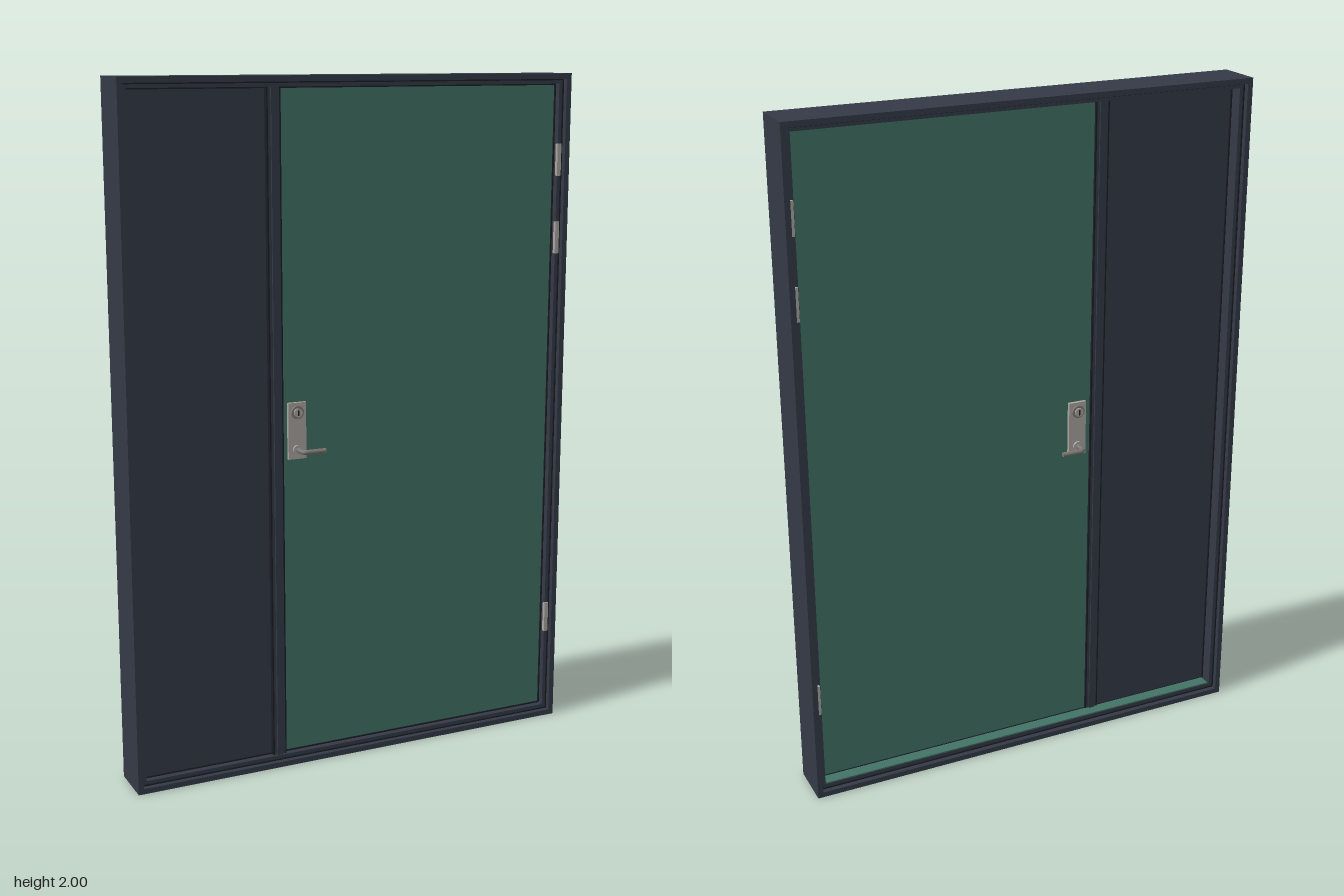
import * as THREE from 'three';

const mat = (name, color) => {
  const m = new THREE.MeshStandardMaterial({ color });
  m.name = name;
  return m;
};

export function createModel() {
  const group = new THREE.Group();
  group.name = 'doorWithSidePanel';
  const slate = mat('slate', 0x343a46);
  const green = mat('green', 0x427366);
  const seal = mat('blackSeal', 0x1a1d24);
  const steel = mat('steel', 0xaaa6a2);
  const darkSteel = mat('darkSteel', 0x7d7874);

  const add = (parent, name, geo, material, x = 0, y = 0, z = 0) => {
    const mesh = new THREE.Mesh(geo, material);
    mesh.name = name;
    mesh.position.set(x, y, z);
    parent.add(mesh);
    return mesh;
  };
  // Box given by its limits on each axis
  const block = (parent, name, material, x0, x1, y0, y1, z0, z1) =>
    add(parent, name, new THREE.BoxGeometry(x1 - x0, y1 - y0, z1 - z0), material,
      (x0 + x1) / 2, (y0 + y1) / 2, (z0 + z1) / 2);

  const rect = (p, x0, x1, y0, y1) => {
    p.moveTo(x0, y0);
    p.lineTo(x1, y0);
    p.lineTo(x1, y1);
    p.lineTo(x0, y1);
    p.closePath();
    return p;
  };
  // Rectangular ring between two insets from the outer size
  const ring = (name, material, outer, inner, z0, z1) => {
    const shape = rect(new THREE.Shape(), -0.69 + outer, 0.69 - outer, outer, 2 - outer);
    shape.holes.push(rect(new THREE.Path(), -0.69 + inner, 0.69 - inner, inner, 2 - inner));
    const geo = new THREE.ExtrudeGeometry(shape, { depth: z1 - z0, bevelEnabled: false });
    add(group, name, geo, material, 0, 0, z0);
  };

  // Stepped frame with seals at the step and around the leaves
  ring('outerFrame', slate, 0, 0.016, -0.08, 0.06);
  ring('frameStep', slate, 0.016, 0.03, -0.062, 0.042);
  ring('frontSeal', seal, 0.016, 0.02, 0.042, 0.045);
  ring('backSeal', seal, 0.016, 0.02, -0.065, -0.062);
  ring('leafSeal', seal, 0.03, 0.034, -0.024, 0.024);

  // Mullion with a slim raised rib
  block(group, 'mullion', slate, -0.262, -0.224, 0.03, 1.97, -0.026, 0.034);
  block(group, 'mullionRib', slate, -0.252, -0.234, 0.03, 1.97, -0.031, 0.04);
  for (const x of [-0.264, -0.226])
    block(group, 'mullionSeal', seal, x, x + 0.004, 0.03, 1.97, -0.027, 0.035);

  // Door leaf, fixed side panel and rear sill plate
  block(group, 'doorLeaf', green, -0.224, 0.66, 0.03, 1.97, -0.02, 0.02);
  block(group, 'sidePanel', slate, -0.66, -0.262, 0.03, 1.97, -0.02, 0.02);
  block(group, 'sillPlate', green, -0.655, 0.655, 0.03, 0.033, -0.06, -0.024);

  // Hinges on the left jamb
  for (const y of [1.75, 1.52, 0.325]) {
    const hinge = new THREE.Group();
    hinge.name = 'hinge';
    group.add(hinge);
    block(hinge, 'frontHingeLeaf', steel, 0.657, 0.67, y - 0.047, y + 0.047, 0.036, 0.047);
    block(hinge, 'backHingeLeaf', steel, 0.664, 0.675, y - 0.047, y + 0.047, -0.073, -0.06);
  }

  // Handle set, mirrored onto the back face
  const handle = (name, side) => {
    const set = new THREE.Group();
    set.name = name;
    group.add(set);
    const span = (label, m, x0, x1, y0, y1, a, b) =>
      block(set, label, m, x0, x1, y0, y1, Math.min(a * side, b * side), Math.max(a * side, b * side));
    span('backplate', steel, -0.205, -0.15, 0.925, 1.09, 0.02, 0.03);
    const disc = (label, m, r, y, a, b) => {
      const geo = new THREE.CylinderGeometry(r, r, b - a, 24).rotateX(Math.PI / 2);
      add(set, label, geo, m, -0.178, y, side * (a + b) / 2);
    };
    disc('lockRose', darkSteel, 0.019, 1.062, 0.03, 0.036);
    disc('lockCylinder', steel, 0.013, 1.062, 0.036, 0.041);
    span('keySlot', seal, -0.18, -0.176, 1.054, 1.07, 0.041, 0.0425);
    disc('leverRose', steel, 0.014, 0.953, 0.03, 0.036);
    // Lever turns from the spindle towards the hinges
    const path = new THREE.CurvePath();
    const v = (x, z) => new THREE.Vector3(x, 0.953, z * side);
    path.add(new THREE.LineCurve3(v(-0.178, 0.03), v(-0.178, 0.06)));
    path.add(new THREE.QuadraticBezierCurve3(v(-0.178, 0.06), v(-0.178, 0.073), v(-0.163, 0.073)));
    path.add(new THREE.LineCurve3(v(-0.163, 0.073), v(-0.11, 0.073)));
    add(set, 'lever', new THREE.TubeGeometry(path, 32, 0.007, 10), darkSteel);
    const tip = new THREE.CylinderGeometry(0.007, 0.007, 0.002, 10).rotateZ(Math.PI / 2);
    add(set, 'leverTip', tip, darkSteel, -0.11, 0.953, 0.073 * side);
  };
  handle('frontHandle', 1);
  handle('backHandle', -1);

  return group;
}
